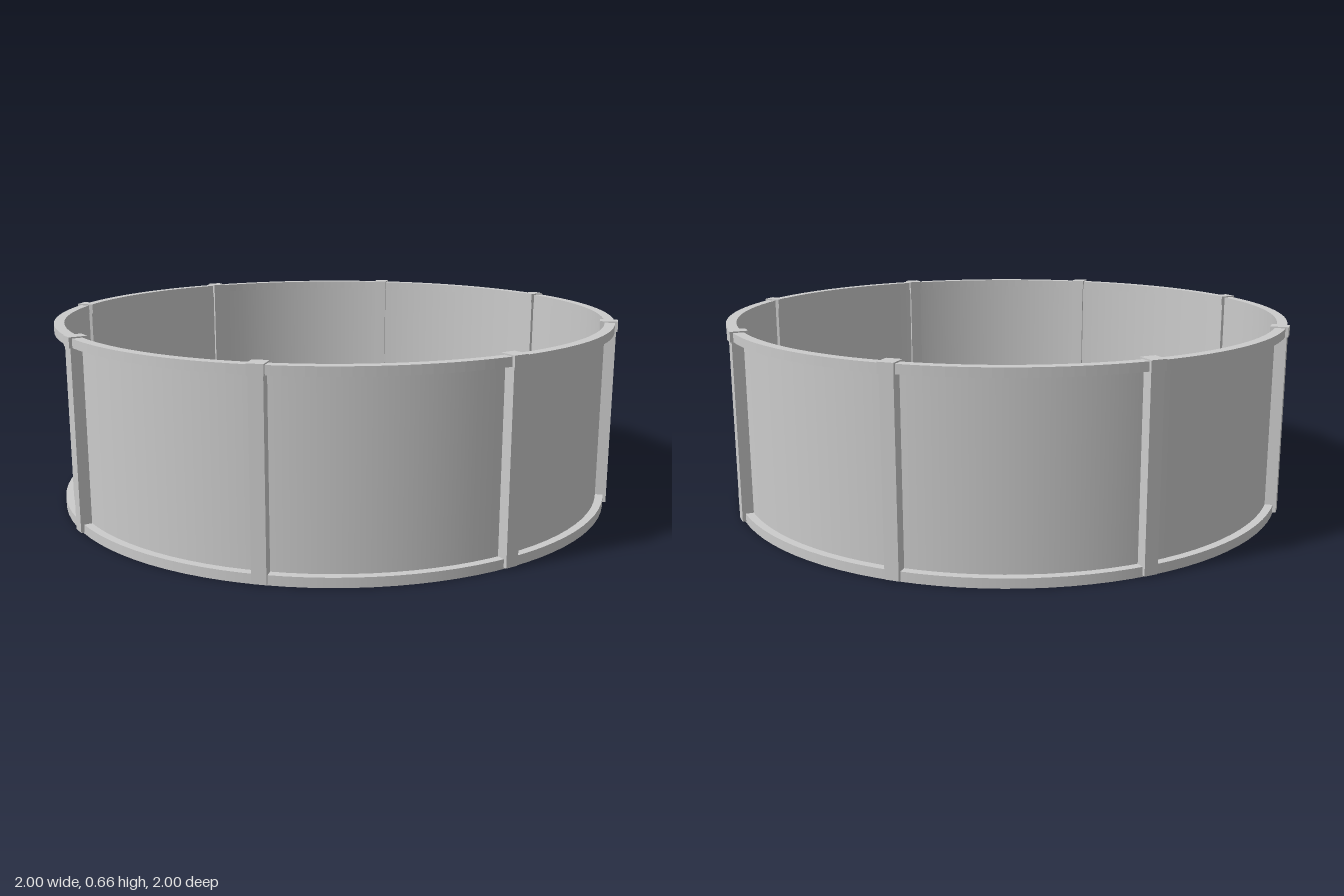
import * as THREE from 'three';

export function createModel() {
  const model = new THREE.Group();
  model.name = 'roundPool';
  const grey = new THREE.MeshStandardMaterial({ color: 0xcccccc });
  const sheet = new THREE.MeshStandardMaterial({ color: 0xcccccc, side: THREE.DoubleSide });
  const SEGMENTS = 96;

  const add = (parent, name, geometry, y, z = 0, material = grey) => {
    const mesh = new THREE.Mesh(geometry, material);
    mesh.name = name;
    mesh.position.set(0, y, z);
    parent.add(mesh);
    return mesh;
  };

  // Flat ring with a rectangular section, its underside at y = 0
  const ring = (inner, outer, height) => {
    const shape = new THREE.Shape().absarc(0, 0, outer, 0, Math.PI * 2);
    shape.holes.push(new THREE.Path().absarc(0, 0, inner, 0, Math.PI * 2, true));
    return new THREE.ExtrudeGeometry(shape, {
      depth: height, bevelEnabled: false, curveSegments: SEGMENTS,
    }).rotateX(-Math.PI / 2);
  };

  // Floor slab, whose edge forms the lower rail
  add(model, 'floor', new THREE.CylinderGeometry(0.992, 0.992, 0.032, SEGMENTS), 0.016);

  // Thin wall
  add(model, 'wall', new THREE.CylinderGeometry(0.965, 0.965, 0.61, SEGMENTS, 1, true), 0.335, 0, sheet);

  // Upper rail
  add(model, 'topRail', ring(0.963, 0.998, 0.03), 0.625);

  // Eight uprights straddling the wall, each with a small cap
  for (let i = 0; i < 8; i++) {
    const upright = new THREE.Group();
    upright.name = 'upright';
    upright.rotation.y = THREE.MathUtils.degToRad(22 + 45 * i);
    add(upright, 'post', new THREE.BoxGeometry(0.046, 0.625, 0.05), 0.3175, 0.978);
    add(upright, 'postCap', new THREE.BoxGeometry(0.052, 0.035, 0.06), 0.642, 0.978);
    model.add(upright);
  }
  return model;
}
